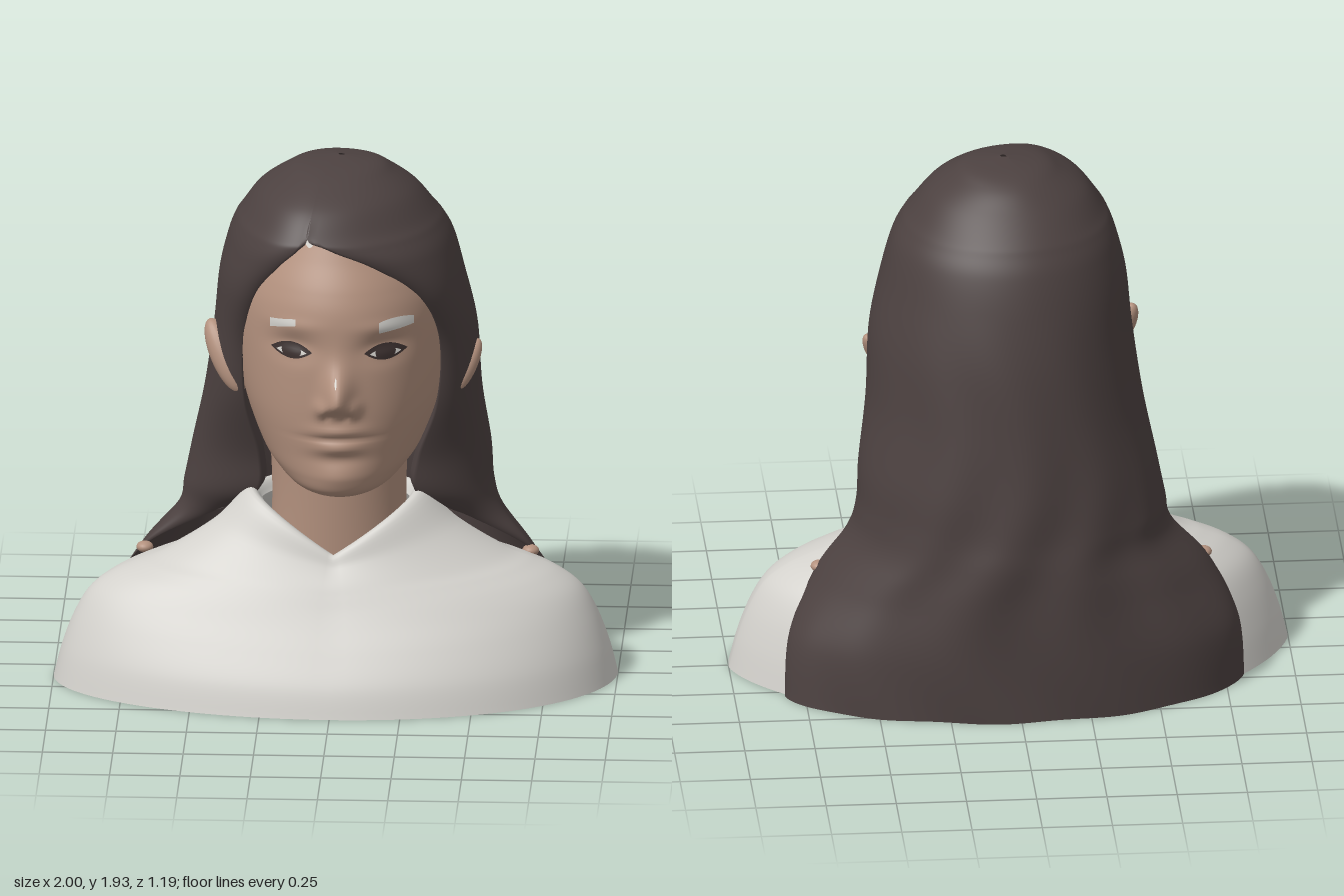
import * as THREE from 'three';

const mat = (name, color) => {
  const m = new THREE.MeshStandardMaterial({ color, side: THREE.DoubleSide });
  m.name = name;
  return m;
};

// Smooth interpolation of key rows, t from 0 to 1
function sample(keys, t) {
  const n = keys.length - 1;
  const i = Math.min(Math.floor(t * n), n - 1), f = t * n - i;
  const row = k => keys[Math.max(0, Math.min(n, k))];
  const [a, b, c, d] = [row(i - 1), row(i), row(i + 1), row(i + 2)];
  return b.map((_, k) => b[k] + 0.5 * f * (c[k] - a[k] + f * (2 * a[k] - 5 * b[k] + 4 * c[k] - d[k]
    + f * (3 * (b[k] - c[k]) + d[k] - a[k]))));
}

// Grid surface from a rule point(u, v) -> [x, y, z]
function surface(name, material, nu, nv, point) {
  const pos = [], idx = [], w = nu + 1;
  for (let j = 0; j <= nv; j++) for (let i = 0; i <= nu; i++) pos.push(...point(i / nu, j / nv));
  for (let j = 0; j < nv; j++) for (let i = 0; i < nu; i++) {
    const a = j * w + i, b = a + 1, c = a + w, d = c + 1;
    idx.push(a, c, b, b, c, d);
  }
  const g = new THREE.BufferGeometry();
  g.setAttribute('position', new THREE.Float32BufferAttribute(pos, 3));
  g.setIndex(idx);
  g.computeVertexNormals();
  const mesh = new THREE.Mesh(g, material);
  mesh.name = name;
  return mesh;
}

const angle = u => -Math.PI / 2 + u * Math.PI * 2;

// Face rows: y, half width, centre z, front z, back z
const FACE_X = 0.027;
const FACE = [
  [0.772, 0.01, 0.33, 0.34, 0.32], [0.782, 0.1, 0.3, 0.43, 0.2], [0.81, 0.17, 0.27, 0.48, 0.1],
  [0.86, 0.23, 0.21, 0.495, 0], [0.93, 0.285, 0.14, 0.5, -0.1], [1.1, 0.35, 0.08, 0.515, -0.28],
  [1.3, 0.378, 0.055, 0.512, -0.3], [1.45, 0.376, 0.05, 0.508, -0.3], [1.55, 0.355, 0.04, 0.48, -0.28],
  [1.65, 0.31, 0.03, 0.43, -0.25], [1.74, 0.24, 0.02, 0.39, -0.2],
];

// Nose, eye sockets, lips and chin as soft bumps
function features(x, y) {
  const ax = Math.abs(x);
  const g = (px, cx, sx, cy, sy) => Math.exp(-(((px - cx) / sx) ** 2) - ((y - cy) / sy) ** 2);
  return 0.085 * g(x, 0, 0.047, 1.17, y > 1.17 ? 0.1 : 0.045)
    + 0.028 * g(ax, 0.055, 0.026, 1.135, 0.03)
    - 0.012 * g(ax, 0.035, 0.014, 1.108, 0.012)
    - 0.03 * g(ax, 0.165, 0.08, 1.35, 0.045)
    + 0.016 * g(ax, 0.165, 0.05, 1.335, 0.024)
    + 0.006 * g(ax, 0.16, 0.09, 1.43, 0.025)
    + 0.014 * g(x, 0, 0.09, 1.05, 0.022)
    + 0.014 * g(x, 0, 0.08, 0.985, 0.024)
    - 0.011 * g(x, 0, 0.12, 1.02, 0.008)
    - 0.008 * g(x, 0, 0.1, 0.94, 0.026)
    + 0.01 * g(x, 0, 0.08, 0.87, 0.04);
}

function faceZ(x, y) {
  let lo = 0, hi = 1;
  for (let i = 0; i < 24; i++) {
    const m = (lo + hi) / 2;
    if (sample(FACE, m)[0] < y) lo = m; else hi = m;
  }
  const [, a, zc, zf] = sample(FACE, lo);
  const s = Math.sqrt(Math.max(0, 1 - ((x - FACE_X) / a) ** 2));
  return zc + (zf - zc + features(x - FACE_X, y)) * s;
}

// Thin patch hugging the face; rule(s) gives [low, high] for s in -1..1
function facePatch(name, material, cx, cy, half, lift, rule) {
  return surface(name, material, 20, 6, (u, v) => {
    const s = 1 - 2 * u, [lo, hi] = rule(s);
    const x = cx + s * half, y = cy + lo + (hi - lo) * v;
    return [x, y, faceZ(x, y) + lift];
  });
}

// Torso rows: side y, half width, front y, front z, back z
const TORSO = [
  [0, 1, 0, 0.59, -0.57], [0.12, 0.97, 0.1, 0.555, -0.54], [0.24, 0.925, 0.2, 0.49, -0.5],
  [0.33, 0.87, 0.28, 0.43, -0.45], [0.39, 0.79, 0.33, 0.395, -0.4], [0.43, 0.7, 0.38, 0.365, -0.35],
  [0.47, 0.6, 0.42, 0.34, -0.3], [0.58, 0.43, 0.47, 0.3, -0.22],
  [0.7, 0.31, 0.51, 0.27, -0.16], [0.66, 0.26, 0.48, 0.2, -0.12],
];
function torsoPoint(u, v) {
  const [ys, w, yf, zf, zb] = sample(TORSO, v);
  const c = Math.cos(angle(u)), s = Math.sin(angle(u));
  const zc = 0.05 - 0.06 * c * w;  // the shoulders are turned slightly
  if (s > 0) return [w * c, yf + (ys - yf) * Math.abs(c), zc + (zf - zc) * s];
  return [w * c, ys, zc + (zb - zc) * Math.abs(s) ** 1.35];
}

// Hair rows: y, right and left edge x, edge z, right and left side x, side z, back z
const HAIR = [
  [1.932, 0.02, 0.02, 0.04, 0.01, 0.03, 0.03, 0.02],
  [1.915, -0.02, -0.02, 0.15, -0.12, 0.15, 0.03, -0.09],
  [1.88, -0.05, -0.05, 0.25, -0.19, 0.21, 0.03, -0.17],
  [1.82, -0.07, -0.07, 0.36, -0.275, 0.29, 0.02, -0.24],
  [1.74, -0.085, -0.085, 0.43, -0.335, 0.355, 0.02, -0.32],
  [1.7, -0.11, -0.015, 0.445, -0.36, 0.385, 0.01, -0.35],
  [1.63, -0.18, 0.14, 0.415, -0.385, 0.42, 0, -0.39],
  [1.5, -0.27, 0.305, 0.335, -0.415, 0.455, 0, -0.435],
  [1.3, -0.315, 0.37, 0.23, -0.435, 0.5, -0.01, -0.485],
  [1.05, -0.31, 0.355, 0.175, -0.47, 0.515, -0.05, -0.525],
  [0.83, -0.255, 0.28, 0.11, -0.515, 0.545, -0.1, -0.555],
  [0.68, -0.27, 0.28, 0.08, -0.545, 0.555, -0.12, -0.57],
  [0.57, -0.45, 0.47, -0.02, -0.57, 0.59, -0.11, -0.583],
  [0.42, -0.69, 0.69, -0.1, -0.7, 0.7, -0.11, -0.585],
  [0.22, -0.8, 0.8, -0.2, -0.801, 0.801, -0.2, -0.585],
  [0, -0.82, 0.82, -0.24, -0.821, 0.821, -0.24, -0.585],
];
function hairPoint(u, v) {
  const [y, xr, xl, edge, wr, wl, side, zb] = sample(HAIR, v);
  const [xe, w, sign] = u < 0.5 ? [xl, wl, 1] : [xr, wr, -1];
  const low = Math.max(0, 1 - 2 * y), skew = 0.04 * sign * low;
  const ze = edge - skew, zs = side - skew;
  const k = 2 * Math.min(u, 1 - u), split = 0.45;
  // above the shoulders the outermost points tuck the edge inward
  if (k === 0) return [xe, y, y > 0.6 ? ze - Math.min(0.07, (xl - xr) * 0.4) : ze];
  // front curve from the hairline to the side
  if (k < split) {
    const q = k / split * Math.PI / 2;
    return [xe + (w - xe) * Math.sin(q), y, zs + (ze - zs) * Math.cos(q)];
  }
  // back curve with soft strands
  const t = (k - split) / (1 - split) * Math.PI / 2;
  const wave = 0.01 * Math.sin(t) * Math.min(1, Math.max(0, 1.5 - y))
    * Math.sin(u * 62 + 2 * Math.sin(y * 5));
  return [w * Math.cos(t), y, zs + (zb - zs + wave) * Math.sin(t) ** (1 + 0.2 * low)];
}

export function createModel() {
  const root = new THREE.Group();
  root.name = 'bust';
  const skin = mat('skin', 0xb3917e), hair = mat('darkHair', 0x4c4140);
  const cloth = mat('offWhite', 0xd2d0cb), dark = mat('darkEye', 0x3a2f2e);

  // Torso and flat base
  root.add(surface('shirt', cloth, 112, 60, torsoPoint));
  root.add(surface('base', hair, 112, 1, (u, v) => {
    const [x, , z] = torsoPoint(u, 0);
    return [x * v, 0, z * v];
  }));
  root.add(surface('hairBase', hair, 160, 1, (u, v) => {
    const [x, , z] = hairPoint(u, 1);
    return [x * (1 - v), 0, z + (-0.3 - z) * v];
  }));

  // Neck
  root.add(surface('neck', skin, 64, 12, (u, v) => {
    const a = angle(u), r = 0.25 - 0.012 * Math.sin(v * Math.PI);
    return [0.01 + r * Math.cos(a), 0.42 + 0.5 * v, 0.01 + (0.215 + 0.02 * v) * Math.sin(a)];
  }));

  // Face
  root.add(surface('face', skin, 170, 160, (u, v) => {
    const [y, a, zc, zf, zb] = sample(FACE, v);
    const c = Math.cos(angle(u)), s = Math.sin(angle(u)), x = a * c;
    return [FACE_X + x, y, zc + (s > 0 ? zf - zc + features(x, y) : zc - zb) * s];
  }));

  // Ears, and bare skin showing at the shoulders
  for (const [name, x, y, z, rx, ry, rz, lean, tilt] of [
    ['leftEar', 0.465, 1.165, 0.085, 0.036, 0.11, 0.04, -0.6, -0.4],
    ['rightEar', -0.39, 1.2, 0.115, 0.052, 0.145, 0.05, -0.4, 0.42],
    ['leftShoulderSkin', 0.685, 0.42, -0.1, 0.03, 0.02, 0.03, 0, 0],
    ['rightShoulderSkin', -0.685, 0.42, -0.08, 0.03, 0.02, 0.03, 0, 0]]) {
    const part = new THREE.Mesh(new THREE.SphereGeometry(1, 24, 18), skin);
    part.name = name;
    part.scale.set(rx, ry, rz);
    part.position.set(x, y, z);
    part.rotation.set(lean, 0, tilt);
    root.add(part);
  }

  // Hair
  root.add(surface('hair', hair, 160, 130, hairPoint));

  // Eyes
  const lens = h => s => [-h * (1 - s * s), h * (1 - s * s)];
  const round = r => s => [-r * Math.sqrt(1 - s * s), r * Math.sqrt(1 - s * s)];
  for (const [side, x] of [['left', 0.195], ['right', -0.14]]) {
    root.add(facePatch(side + 'EyeRim', dark, x, 1.337, 0.075, 0.003, lens(0.029)));
    root.add(facePatch(side + 'EyeWhite', cloth, x, 1.333, 0.055, 0.006, lens(0.016)));
    root.add(facePatch(side + 'Iris', dark, x, 1.337, 0.036, 0.009, round(0.026)));
  }

  // Eyebrows and small pale flecks on the nose and hairline
  root.add(facePatch('leftBrow', cloth, 0.232, 1.435, 0.06, 0.004,
    s => [-0.02 + 0.006 * s, 0.024 - 0.01 * s * s]));
  root.add(facePatch('rightBrow', cloth, -0.172, 1.435, 0.047, 0.004,
    s => [-0.014 + 0.012 * s, 0.014 + 0.008 * s]));
  root.add(facePatch('noseFleck', cloth, 0.022, 1.245, 0.004, 0.003, lens(0.018)));
  root.add(facePatch('hairlineFleck', cloth, -0.08, 1.715, 0.018, 0.006, lens(0.02)));
  return root;
}
